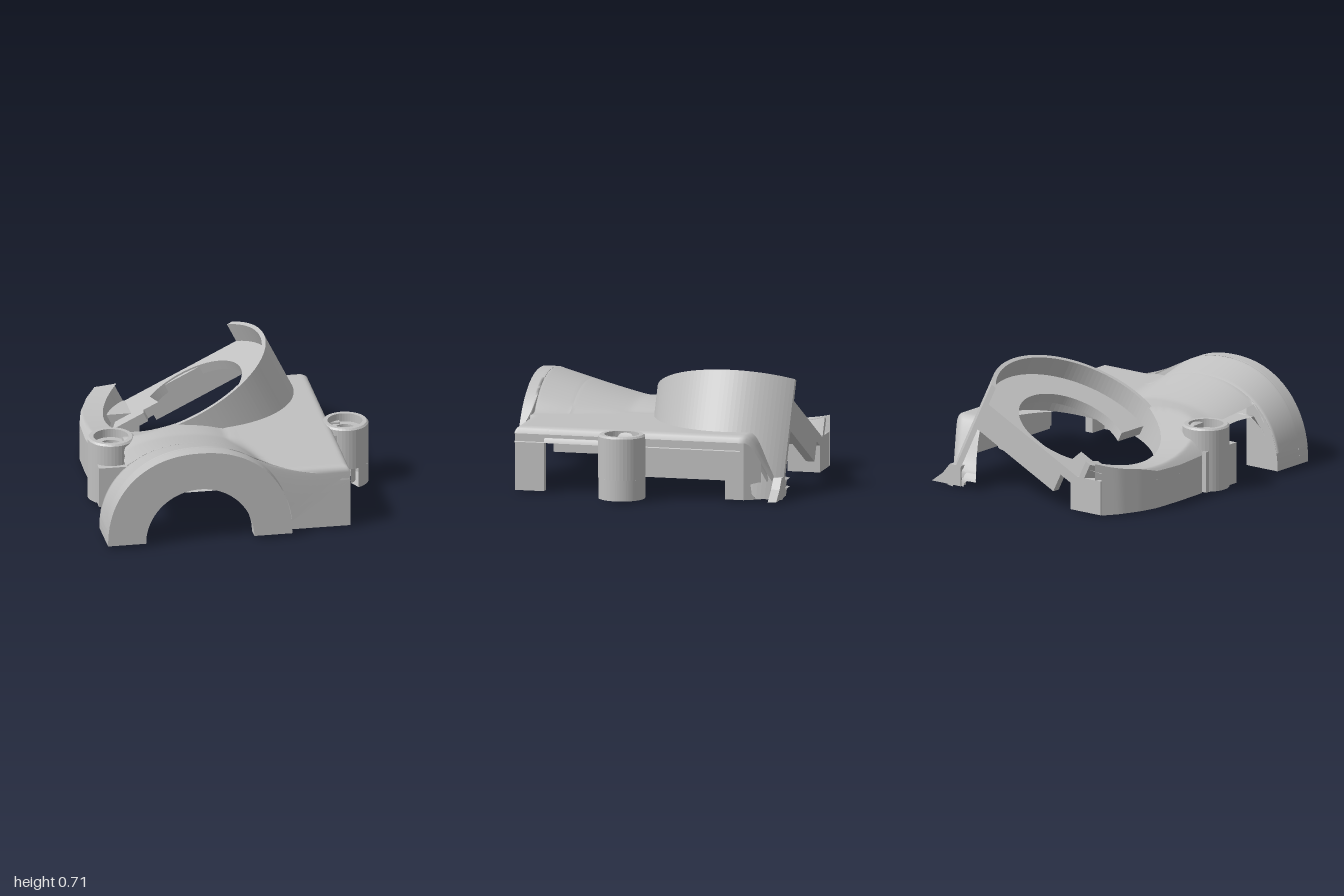
import * as THREE from 'three';

const grey = new THREE.MeshStandardMaterial({ color: 0xc0c0c0, side: THREE.DoubleSide });
grey.name = 'housing grey';

const step = (a, b, x) => THREE.MathUtils.smoothstep(x, a, b);
const N = 2.2, ARCH_U = -0.19, ARCH_W = 0.54;

// Piecewise linear lookup, keys in falling z
function lookup(keys, z) {
  for (let i = 1; i < keys.length; i++) {
    const [z0, a] = keys[i - 1], [z1, b] = keys[i];
    if (z >= z1) return a + (b - a) * Math.min(1, Math.max(0, (z0 - z) / (z0 - z1)));
  }
  return keys[keys.length - 1][1];
}
const leftEdge = z => lookup([[0.8, -0.725], [0.521, -0.72], [0.519, -0.56], [0.23, -0.53], [0.13, -0.5], [-0.03, -0.5],
  [-0.07, -0.655], [-0.3, -0.66], [-0.5, -0.655], [-0.61, -0.628], [-0.74, -0.572], [-0.83, -0.508]], z);
const rightEdge = z => lookup([[0.8, 0.345], [0.727, 0.345], [0.725, 0.7], [-0.63, 0.7], [-0.8, 0.6], [-0.83, 0.5]], z);

// Opening under the tilted collar, and the collar's own plane
const HX = 0.015, HZ = -0.475, HR = 0.53, BACK = -0.83;
const TILT = 0.46, SEAT_X = -0.065, SEAT_Y = 0.465;

// Height of the cover: a pipe arch blended into a flat plate, with a fillet round the collar
function height(x, z) {
  const t = Math.min(1, Math.max(0, (z - 0.2) / 0.52));
  const crown = 0.39 + 0.02 * step(-0.4, 0.2, z) + 0.145 * Math.pow(t, 1.1);
  const o = Math.min(1, Math.abs(x - ARCH_U) / ARCH_W);
  const arch = crown * Math.pow(1 - Math.pow(o, N), 1 / N);
  if (z > 0.726) return arch;
  let plate = 0.37 * step(-0.2, 0.12, x);
  if (x > 0.1) plate -= 0.28 * step(0.63, 0.83, -z) * step(0.1, 0.4, x);
  const r = 0.04, d = Math.min(rightEdge(z) - x, x > 0.34 ? 0.725 - z : 1);
  if (d < r) plate -= r - Math.sqrt(Math.max(0, r * r - (r - d) ** 2));
  const k = 0.03;
  const away = Math.max(0, Math.hypot(x - HX, z - HZ) - HR);
  let h = Math.max(arch, plate) + Math.max(0, k - Math.abs(arch - plate)) ** 2 / (4 * k);
  h += 0.05 * Math.exp(-away / 0.05) * step(-0.2, 0.2, x) * step(0.7, 0.6, x);
  // stay below the collar rim on its low side
  return Math.min(h, SEAT_Y + Math.tan(TILT) * (x - SEAT_X) + 0.5 * away);
}

function build(pos, index) {
  const g = new THREE.BufferGeometry();
  g.setAttribute('position', new THREE.Float32BufferAttribute(pos, 3));
  g.setIndex(index);
  g.computeVertexNormals();
  return g;
}

// One skin of the cover; points inside the opening are pulled to its rim
function skin(drop, ceiling, flip) {
  const rows = [0.8, 0.77, 0.745, 0.727, 0.7249, 0.72, 0.71, 0.7, 0.685, 0.521, 0.519];
  for (let i = 0; i <= 64; i++) {
    const z = 0.66 + (BACK - 0.66) * i / 64;
    if (Math.abs(z - 0.52) > 0.004) rows.push(z);
  }
  rows.sort((a, b) => b - a);
  const M = 72, pos = [], inside = [], index = [];
  for (const z of rows) {
    const a = leftEdge(z), b = rightEdge(z);
    for (let j = 0; j <= M; j++) {
      const t = j / M, s = 0.5 * t + 0.5 * (0.5 - 0.5 * Math.cos(Math.PI * t));
      let x = a + (b - a) * s, zz = z;
      const d = Math.hypot(x - HX, z - HZ);
      inside.push(d < HR);
      if (d < HR && d > 0) {
        x = HX + (x - HX) * HR / d;
        zz = HZ + (z - HZ) * HR / d;
        if (zz < BACK) {
          zz = BACK;
          x = HX + Math.sign(x - HX) * Math.sqrt(HR * HR - (BACK - HZ) ** 2);
        }
      }
      pos.push(x, Math.max(0, Math.min(height(x, zz) - drop, ceiling)), zz);
    }
  }
  const tri = (a, b, c) => {
    if (inside[a] && inside[b] && inside[c]) return;
    if (flip) index.push(a, c, b); else index.push(a, b, c);
  };
  for (let i = 0; i < rows.length - 1; i++) for (let j = 0; j < M; j++) {
    const a = i * (M + 1) + j, c = a + M + 1;
    tri(a, a + 1, c);
    tri(a + 1, c + 1, c);
  }
  return build(pos, index);
}

// Upright wall from the cover edge to the ground
function edgeWall(edge, z0, z1, inset, flip) {
  const pos = [], index = [], n = 40;
  for (let i = 0; i <= n; i++) {
    const z = z0 + (z1 - z0) * i / n, x = edge(z);
    pos.push(x + inset, height(x, z), z, x + inset, 0, z);
    if (i < n) {
      const a = 2 * i;
      if (flip) index.push(a, a + 2, a + 1, a + 1, a + 2, a + 3);
      else index.push(a, a + 1, a + 2, a + 1, a + 3, a + 2);
    }
  }
  return build(pos, index);
}

const shapeOf = pts => new THREE.Shape(pts.map(p => new THREE.Vector2(...p)));
const extrude = (shape, depth) => new THREE.ExtrudeGeometry(shape, { depth, bevelEnabled: false, curveSegments: 48 });

// Turned ring with sharp edges
function ring(pts, start = 0, len = Math.PI * 2) {
  const g = new THREE.LatheGeometry(pts.map(p => new THREE.Vector2(...p)), 40, start, len).toNonIndexed();
  g.computeVertexNormals();
  return g;
}

export function createModel() {
  const model = new THREE.Group();
  const body = new THREE.Group();
  body.name = 'housing';
  body.rotation.y = -0.446;
  model.add(body);
  const add = (name, geo, parent = body) => {
    const m = new THREE.Mesh(geo, grey);
    m.name = name;
    parent.add(m);
    return m;
  };
  const box = (name, x0, x1, y0, y1, z0, z1, parent) => add(name,
    new THREE.BoxGeometry(x1 - x0, y1 - y0, z1 - z0).translate((x0 + x1) / 2, (y0 + y1) / 2, (z0 + z1) / 2), parent);

  // Cover shell with a flat ceiling
  add('coverOuter', skin(0, 1, false));
  add('coverInner', skin(0.05, 0.31, true));
  add('leftWallOuter', edgeWall(leftEdge, 0.16, BACK, 0, true));
  add('leftWallInner', edgeWall(leftEdge, 0.16, BACK, 0.05, false));
  add('rearRightWall', edgeWall(rightEdge, -0.61, -0.72, 0, false));

  // Pipe arch rib and its deep left foot
  const arc = [];
  for (let i = 0; i <= 48; i++) {
    const t = Math.PI * i / 48, c = Math.cos(t);
    arc.push([ARCH_U + 0.536 * Math.sign(c) * Math.abs(c) ** (2 / N), 0.01 + 0.538 * Math.sin(t) ** (2 / N)]);
  }
  const rib = shapeOf(arc);
  rib.lineTo(ARCH_U - 0.315, 0.01);
  rib.absarc(ARCH_U, 0.01, 0.315, Math.PI, 0, true);
  add('archRib', extrude(rib, 0.08).translate(0, 0, 0.722));
  const foot = arc.filter(p => p[0] < -0.5).map(([x, y]) => [x, 0.01 + (y - 0.01) * 0.9]);
  add('archFoot', extrude(shapeOf([[-0.5, 0.01], [-0.5, foot[0][1]], ...foot]), 0.275).translate(0, 0, 0.52));

  // Plate walls; the right one has cut-outs along its foot
  box('frontWall', 0.33, 0.695, 0, 0.33, 0.66, 0.722);
  const side = shapeOf([[-0.72, 0], [-0.72, 0.33], [0.61, 0.33], [0.61, 0], [0.52, 0], [0.52, 0.11],
    [-0.16, 0.11], [-0.16, 0.31], [-0.55, 0.31], [-0.55, 0]]);
  add('rightWall', extrude(side, 0.05).rotateY(Math.PI / 2).translate(0.648, 0, 0));

  // Rear corner block and flared foot
  box('rearLeftBlock', -0.5, -0.28, 0, 0.2, BACK, -0.64);
  add('rearRightFlare', extrude(shapeOf([[0.52, 0], [0.73, 0], [0.65, 0.06], [0.6, 0.12], [0.52, 0.12]]), 0.05)
    .translate(0, 0, BACK));

  // Screw bosses
  const bossProfile = y => [[0.06, y], [0.135, y], [0.135, 0.36], [0.125, 0.37], [0.1, 0.37], [0.1, 0.32], [0.06, 0.32], [0.06, y]];
  add('rightBoss', ring(bossProfile(0.12))).position.set(0.786, 0, 0.068);
  add('rightBossFoot', ring([[0.06, 0], [0.135, 0], [0.135, 0.12], [0.06, 0.12], [0.06, 0]], 0.44, Math.PI))
    .position.set(0.786, 0, 0.068);
  add('leftBoss', ring(bossProfile(0))).position.set(-0.573, 0, 0.052);
  const base = shapeOf([[-0.67, -0.07], [-0.45, -0.07], [-0.45, 0.21], [-0.67, 0.21]]);
  base.holes.push(new THREE.Path().absarc(-0.573, 0.052, 0.1, 0, Math.PI * 2, true));
  add('leftBossBase', extrude(base, 0.24).rotateX(Math.PI / 2).translate(0, 0.24, 0));
  for (const z of [-0.05, 0.135]) box('rightBossWeb', 0.66, 0.77, 0.12, 0.33, z, z + 0.05);

  // Tilted round seat
  const seat = new THREE.Group();
  seat.name = 'tiltedSeat';
  seat.position.set(SEAT_X, SEAT_Y, HZ);
  seat.rotation.z = TILT;
  body.add(seat);

  // Collar, open at the back, deeper on the high side and reaching the ground at the rear right
  const R = 0.535, r = 0.51, back = BACK - HZ;
  const a0 = Math.asin(back / R), b0 = Math.asin(back / r);
  const wall = new THREE.Shape();
  wall.absarc(0, 0, R, a0, Math.PI - a0, false);
  wall.absarc(0, 0, r, Math.PI - b0, b0, true);
  const collar = extrude(wall, 1).rotateX(Math.PI / 2);
  const p = collar.attributes.position;
  for (let i = 0; i < p.count; i++) {
    if (p.getY(i) > -0.5) continue;
    const x = p.getX(i), tail = x > 0 ? 0.36 * step(0.12, 0.22, -p.getZ(i)) : 0;
    p.setY(i, -0.25 - 0.28 * x - tail);
  }
  add('collar', collar, seat);

  // Seat floor: part ring with a stepped tab at the rear left, and a skirt along the back
  const floor = new THREE.Shape();
  floor.moveTo(-0.38, back);
  floor.lineTo(0.37, back);
  floor.absarc(0, 0, 0.515, Math.asin(back / 0.515), 1.87, false);
  floor.absarc(0, 0, 0.325, 2.05, -2.3, true);
  floor.lineTo(-0.186, -0.125);
  floor.lineTo(-0.28, -0.125);
  floor.lineTo(-0.29, -0.09);
  floor.lineTo(-0.49, -0.09);
  add('seatFloor', extrude(floor, 0.06).rotateX(Math.PI / 2).translate(0, -0.12, 0), seat);
  box('seatSkirt', -0.25, 0.38, -0.3, -0.13, back, back + 0.05, seat);

  return model;
}
